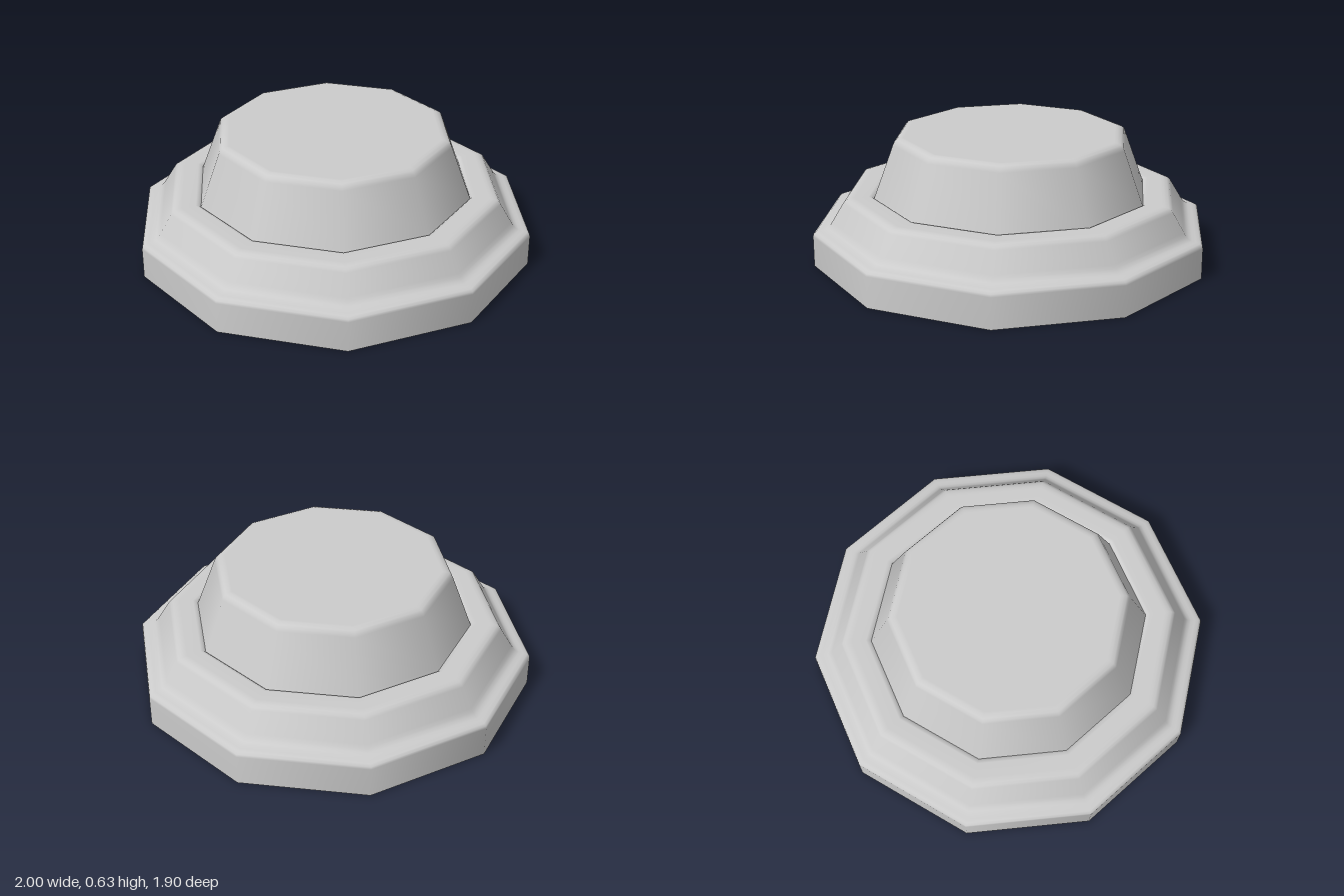
import * as THREE from 'three';

const SIDES = 10;

export function createModel() {
  const group = new THREE.Group();
  const material = new THREE.MeshStandardMaterial({ color: 0xcccccc, side: THREE.DoubleSide });

  // Ten-sided thin shell from [radius, height] pairs, with a corner on the x axis
  const addShell = (name, profile) => {
    const points = profile.map(([r, y]) => new THREE.Vector2(r, y));
    const mesh = new THREE.Mesh(new THREE.LatheGeometry(points, SIDES, Math.PI / 2), material);
    mesh.name = name;
    group.add(mesh);
  };

  // Open-bottomed skirt, rounded step, sloped collar and flat ring with a small inner lip
  addShell('steppedBase', [
    [1, 0], [1, 0.155], [0.997, 0.168], [0.985, 0.177], [0.965, 0.181],
    [0.945, 0.185], [0.928, 0.192], [0.914, 0.206], [0.904, 0.222],
    [0.846, 0.316], [0.837, 0.328], [0.824, 0.336], [0.805, 0.34],
    [0.79, 0.34], [0.72, 0.34], [0.705, 0.338], [0.694, 0.328],
  ]);

  // Tapered cap with a softened rim and flat top
  addShell('taperedCap', [
    [0.694, 0.328], [0.688, 0.342], [0.593, 0.596], [0.586, 0.612], [0.574, 0.623],
    [0.555, 0.63], [0.54, 0.63], [0, 0.63],
  ]);

  return group;
}
